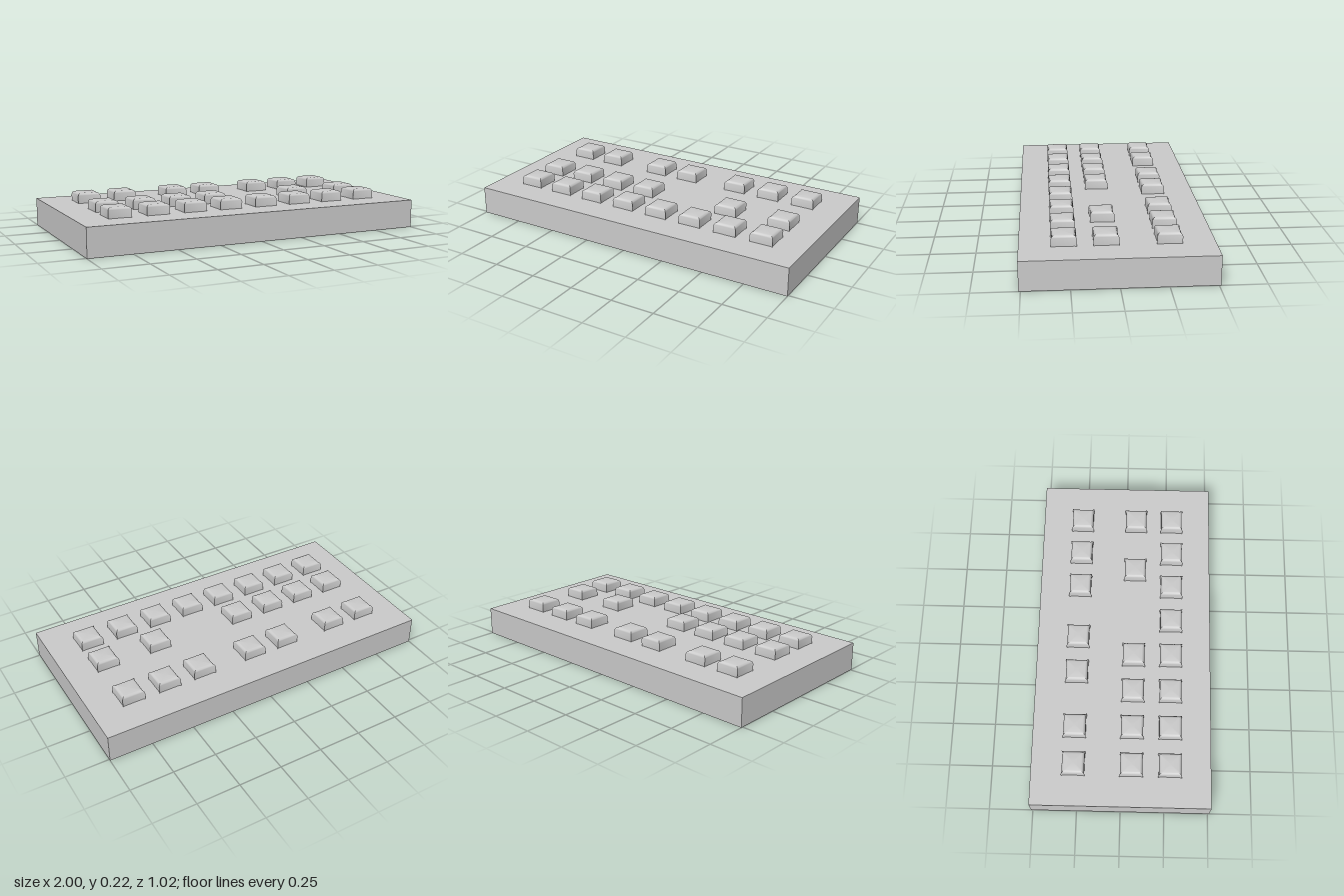
import * as THREE from 'three';
import { toCreasedNormals } from 'three/addons/utils/BufferGeometryUtils.js';

const BASE_TOP = 0.163, KEY_TOP = 0.222, HALF = 0.067, ROUND = 0.02;

// Square cap lofted from rings: slightly flared corners, rounded top rim
function keyGeometry() {
  const rings = [{ y: BASE_TOP - 0.005, h: HALF, f: 0.004 }];
  for (let i = 0; i <= 5; i++) {
    const a = (i / 5) * Math.PI / 2;
    rings.push({
      y: KEY_TOP - ROUND + ROUND * Math.sin(a),
      h: HALF - ROUND + ROUND * Math.cos(a),
      f: 0.004 * Math.cos(a),
    });
  }
  rings.push({ y: KEY_TOP, h: 0, f: 0 });

  const positions = [], index = [], n = 12;
  for (const { y, h, f } of rings) {
    let side = [[h, h], [h - f, h * 0.82], [h - f, -h * 0.82]];
    for (let k = 0; k < 4; k++) {
      for (const [x, z] of side) positions.push(x, y, z);
      side = side.map(([x, z]) => [z, -x]);
    }
  }
  for (let j = 0; j < rings.length - 1; j++) {
    for (let i = 0; i < n; i++) {
      const a = j * n + i, b = j * n + (i + 1) % n;
      index.push(a, b, b + n);
      if (j < rings.length - 2) index.push(a, b + n, a + n);
    }
  }
  const geometry = new THREE.BufferGeometry();
  geometry.setAttribute('position', new THREE.Float32BufferAttribute(positions, 3));
  geometry.setIndex(index);
  return toCreasedNormals(geometry, 0.6);
}

export function createModel() {
  const model = new THREE.Group();
  model.name = 'keypad';
  const material = new THREE.MeshStandardMaterial({ color: 0xcccccc });

  // Flat slab body
  const base = new THREE.Mesh(new THREE.BoxGeometry(2, BASE_TOP, 1.02), material);
  base.position.y = BASE_TOP / 2;
  base.name = 'base';
  model.add(base);

  // Rows of keys; columns count key pitches from the left end
  const pitch = 0.2183;
  const rows = [
    { name: 'backRow', z: -0.269, columns: [0, 1, 2.5, 3.5, 5, 6, 7] },
    { name: 'middleRow', z: 0.059, columns: [0, 1, 2, 3, 5.5, 7] },
    { name: 'frontRow', z: 0.277, columns: [0, 1, 2, 3, 4, 5, 6, 7] },
  ];
  const geometry = keyGeometry();
  for (const { name, z, columns } of rows) {
    const row = new THREE.Group();
    row.name = name;
    columns.forEach((column, i) => {
      const key = new THREE.Mesh(geometry, material);
      key.position.set((column - 3.5) * pitch, 0, z);
      key.name = `key${i + 1}`;
      row.add(key);
    });
    model.add(row);
  }
  return model;
}
